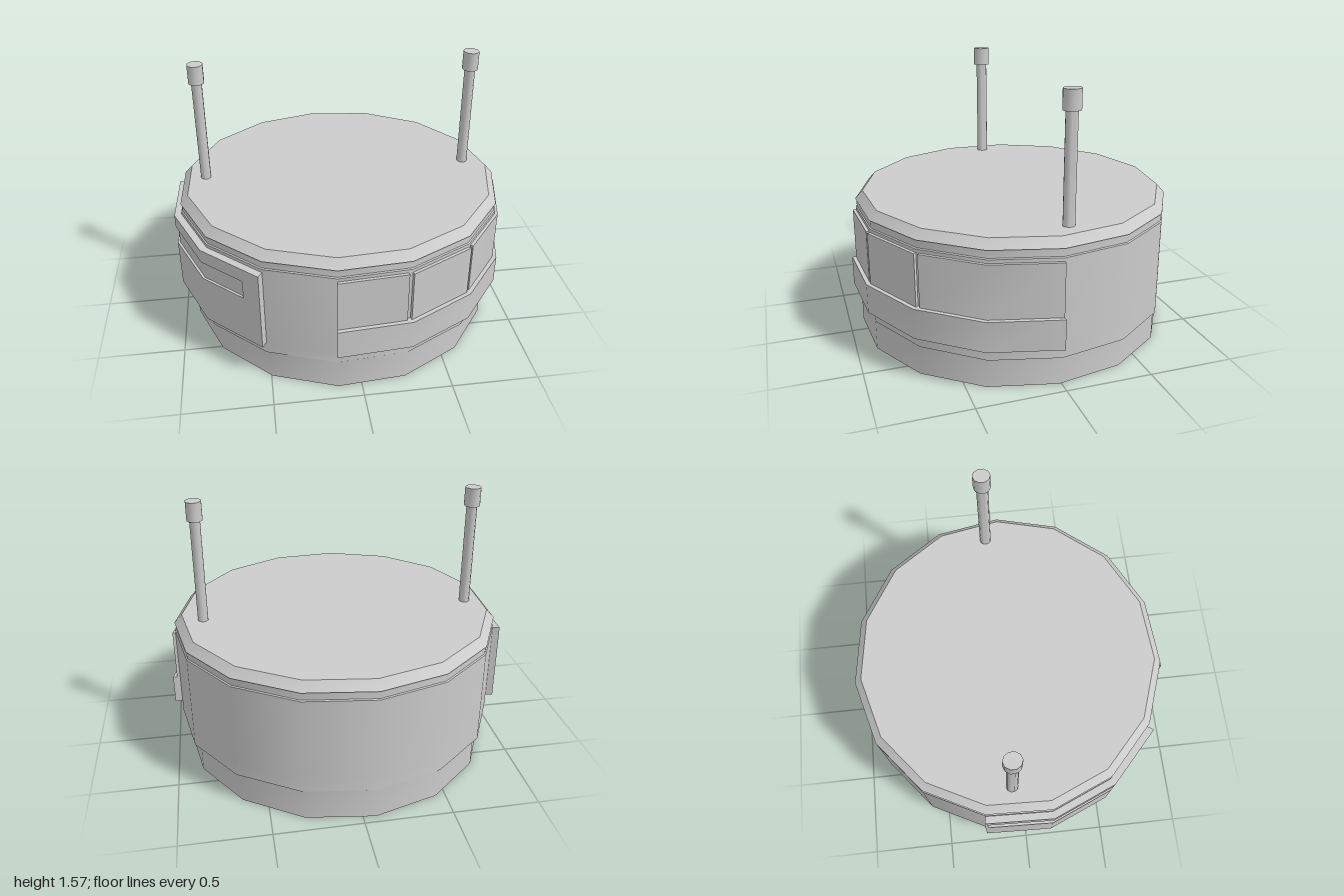
import * as THREE from 'three';
import { mergeGeometries, toCreasedNormals } from 'three/addons/utils/BufferGeometryUtils.js';

const SIDES = 15, RADIUS = 0.94, CENTRE_Z = -0.018, STRETCH = 1.03;
const material = new THREE.MeshStandardMaterial({ color: 0xcccccc, side: THREE.DoubleSide });

// Point on the 15-sided outline; a fractional k lies along the flat side
function outline(k, offset, y, stretch = STRETCH) {
  const corner = (i) => {
    const a = THREE.MathUtils.degToRad(-4.1 + (360 / SIDES) * (i % SIDES));
    const r = RADIUS + offset;
    return new THREE.Vector3(Math.sin(a) * r * stretch - 0.005, y, CENTRE_Z - Math.cos(a) * r);
  };
  const i = Math.floor(k);
  return k === i ? corner(i) : corner(i).lerp(corner(i + 1), k - i);
}

function geometryFrom(points) {
  return new THREE.BufferGeometry().setFromPoints(points);
}

// Sweeps a profile of [offset, y, stretch] points along the outline from k0 to k1
function strip(k0, k1, profile, capped = false) {
  const points = [];
  const at = (k, p) => outline(k, p[0], p[1], p[2]);
  const stops = [k0];
  for (let k = Math.floor(k0) + 1; k < k1; k++) stops.push(k);
  stops.push(k1);
  for (let s = 0; s < stops.length - 1; s++) {
    for (let j = 0; j < profile.length - 1; j++) {
      const a = at(stops[s + 1], profile[j]), b = at(stops[s], profile[j]);
      const c = at(stops[s], profile[j + 1]), d = at(stops[s + 1], profile[j + 1]);
      points.push(a, b, c, a, c, d);
    }
  }
  if (capped) {
    for (const k of [k0, k1]) {
      for (let j = 1; j < profile.length - 1; j++) {
        const tri = [at(k, profile[0]), at(k, profile[j]), at(k, profile[j + 1])];
        points.push(...(k === k0 ? tri : tri.reverse()));
      }
    }
  }
  return geometryFrom(points);
}

// Raised plate, open towards the inside of the shell
const plate = (k0, k1, offset, y0, y1) =>
  strip(k0, k1, [[0, y0], [offset, y0], [offset, y1], [0, y1]], true);

function addPart(group, name, geometries) {
  const mesh = new THREE.Mesh(toCreasedNormals(mergeGeometries(geometries), 0.6), material);
  mesh.name = name;
  group.add(mesh);
}

function antenna(x) {
  const group = new THREE.Group();
  group.name = 'antenna';
  const piece = (name, radius, y0, y1) => {
    const geometry = new THREE.CylinderGeometry(radius, radius, y1 - y0, 10).toNonIndexed();
    const mesh = new THREE.Mesh(toCreasedNormals(geometry, 0.7), material);
    mesh.name = name;
    mesh.position.y = (y0 + y1) / 2;
    group.add(mesh);
  };
  piece('antennaRod', 0.031, 0.84, 1.47);
  piece('antennaTip', 0.046, 1.46, 1.57);
  group.scale.z = 1.12;
  group.position.set(x, 0, -0.075);
  return group;
}

export function createModel() {
  const model = new THREE.Group();
  model.name = 'drum';

  // Open-bottomed base ring with the ledge under the wall
  addPart(model, 'baseRing', [strip(0, SIDES, [[0, 0, 0.99], [0, 0.18, 0.99], [0, 0.18]])]);

  // Thin wall, with openings where the raised panels sit
  addPart(model, 'wall', [
    strip(0, SIDES, [[0, 0.18], [0, 0.25]]),
    strip(8, 9, [[0, 0.25], [0, 0.73]]),
    strip(12, 19, [[0, 0.25], [0, 0.73]]),
    strip(0, SIDES, [[0, 0.73], [0, 0.75], [-0.007, 0.755], [-0.007, 0.8]]),
  ]);

  // Lid with chamfered rim
  const top = [];
  for (let k = 0; k < SIDES; k++) {
    top.push(new THREE.Vector3(-0.005, 0.85, CENTRE_Z), outline(k + 1, -0.045, 0.85), outline(k, -0.045, 0.85));
  }
  addPart(model, 'lid', [
    strip(0, SIDES, [[-0.007, 0.8], [0, 0.8], [-0.045, 0.85]]),
    geometryFrom(top),
  ]);

  // Front panel: three panes with grooves between them, over a thicker sill
  addPart(model, 'windowPanes', [[4, 5.95], [6, 7], [7.06, 8]].map(([a, b]) => plate(a, b, 0.018, 0.425, 0.73)));
  addPart(model, 'paneGrooves', [[5.95, 6], [7, 7.06]].map(([a, b]) => strip(a, b, [[0, 0.425], [0, 0.73]])));
  addPart(model, 'windowSill', [plate(4, 8, 0.042, 0.25, 0.425)]);

  // Side panel with a shallow slot
  addPart(model, 'sidePanel', [
    plate(9, 12, 0.042, 0.25, 0.54),
    plate(9, 12, 0.042, 0.65, 0.73),
    plate(9, 9.28, 0.042, 0.54, 0.65),
    plate(11.96, 12, 0.042, 0.54, 0.65),
  ]);
  addPart(model, 'sidePanelSlot', [plate(9.28, 11.96, 0.028, 0.54, 0.65)]);

  model.add(antenna(0.79), antenna(-0.81));
  return model;
}
